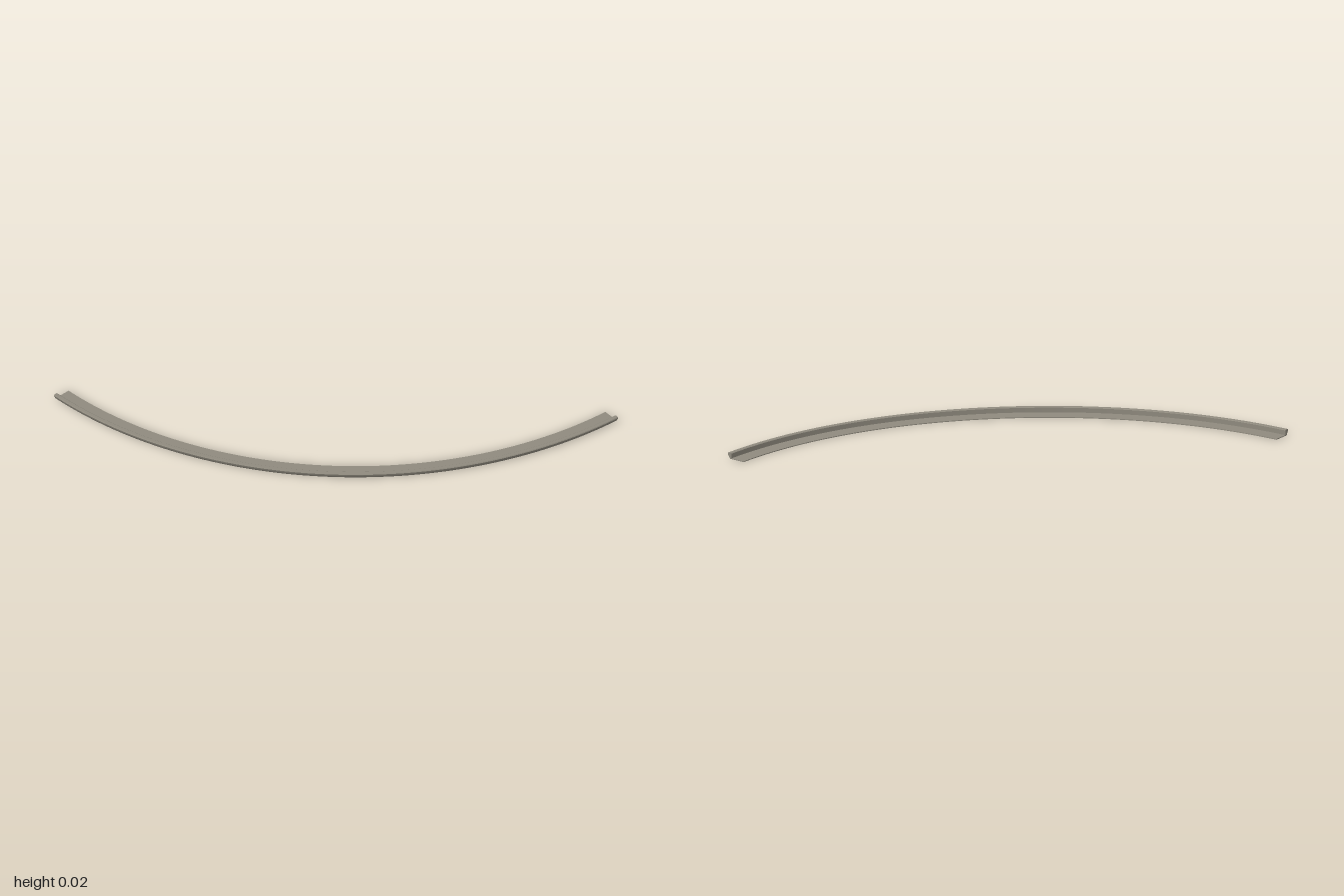
import * as THREE from 'three';
import { toCreasedNormals } from 'three/addons/utils/BufferGeometryUtils.js';

const R = 1.463;          // outer radius of the curved rail
const CENTRE_Z = -1.241;  // centre of curvature
const HALF = Math.asin(1 / R);
const PANELS = 9;

// Cross-section as [radius, height], counter-clockwise: thin base plate with a raised outer lip
const section = [
  [R - 0.072, 0],
  [R - 0.011, 0],
  [R - 0.009, 0.002],
  [R - 0.001, 0.015],
  [R, 0.019],
  [R - 0.002, 0.022],
  [R - 0.014, 0.022],
  [R - 0.017, 0.02],
  [R - 0.017, 0.003],
  [R - 0.072, 0.003],
].map(([r, y]) => new THREE.Vector2(r, y));

export function createModel() {
  const model = new THREE.Group();
  model.name = 'curvedRail';
  const material = new THREE.MeshStandardMaterial({ color: 0x8f8a7e });
  const capMaterial = material.clone();
  capMaterial.side = THREE.DoubleSide;

  // Abutting panels swept round the arc
  const step = (2 * HALF) / PANELS;
  const profile = [...section, section[0]];
  for (let i = 0; i < PANELS; i++) {
    const sweep = new THREE.LatheGeometry(profile, 8, -HALF + i * step, step);
    const panel = new THREE.Mesh(toCreasedNormals(sweep, 0.5), material);
    panel.name = `railPanel${i + 1}`;
    panel.position.z = CENTRE_Z;
    model.add(panel);
  }

  // Flat faces closing both ends
  for (const side of [-1, 1]) {
    const cap = new THREE.Mesh(new THREE.ShapeGeometry(new THREE.Shape(section)), capMaterial);
    cap.name = side > 0 ? 'leftEnd' : 'rightEnd';
    cap.rotation.y = side * HALF - Math.PI / 2;
    cap.position.z = CENTRE_Z;
    model.add(cap);
  }
  return model;
}
